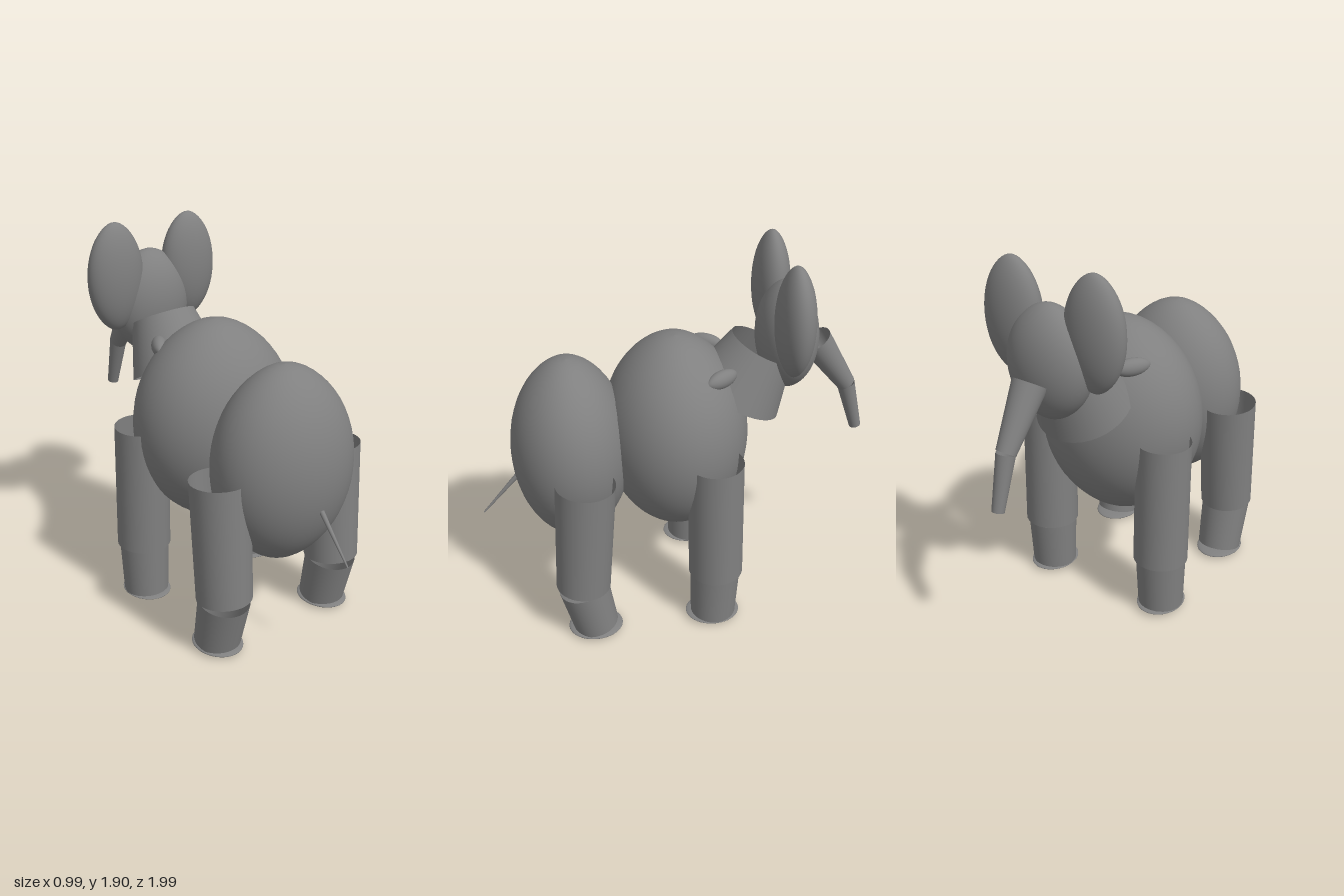
import * as THREE from 'three';

const gray = new THREE.MeshStandardMaterial({ color: 0x808080, side: THREE.DoubleSide });
gray.name = 'elephant gray';

// Ellipsoid with slightly pointed poles, made from a lathed profile
function pod(name, center, radii) {
  const profile = [];
  for (let i = 0; i <= 28; i++) {
    const t = Math.PI * (1 - i / 28);
    const c = Math.cos(t);
    profile.push(new THREE.Vector2(Math.max(0, Math.sin(t)), 0.96 * c + 0.04 * Math.pow(c, 9)));
  }
  const geometry = new THREE.LatheGeometry(profile, 40);
  geometry.scale(...radii);
  const mesh = new THREE.Mesh(geometry, gray);
  mesh.name = name;
  mesh.position.set(...center);
  return mesh;
}

// Open tapered tube running from a lower point to an upper point
function sleeve(name, low, high, lowRadius, highRadius) {
  const a = new THREE.Vector3(...low);
  const b = new THREE.Vector3(...high);
  const axis = b.clone().sub(a);
  const geometry = new THREE.CylinderGeometry(highRadius, lowRadius, axis.length(), 36, 1, true);
  const mesh = new THREE.Mesh(geometry, gray);
  mesh.name = name;
  mesh.position.copy(a).add(b).multiplyScalar(0.5);
  mesh.quaternion.setFromUnitVectors(new THREE.Vector3(0, 1, 0), axis.normalize());
  return mesh;
}

export function createModel() {
  const model = new THREE.Group();
  model.name = 'elephant';

  // Body and head
  model.add(
    pod('hindBody', [0, 0.915, 0.53], [0.37, 0.495, 0.3]),
    pod('foreBody', [0, 0.965, 0], [0.43, 0.525, 0.367]),
    pod('head', [0, 1.45, -0.56], [0.22, 0.28, 0.152]),
    sleeve('neck', [0, 1.144, -0.31], [0, 1.395, -0.44], 0.243, 0.168),
  );

  // Trunk and tail
  model.add(
    sleeve('upperTrunk', [0, 1.134, -0.893], [0, 1.4, -0.71], 0.048, 0.083),
    sleeve('lowerTrunk', [0, 0.872, -0.967], [0, 1.134, -0.893], 0.03, 0.046),
    sleeve('tail', [0, 0.56, 0.996], [0, 0.77, 0.81], 0.004, 0.013),
  );

  // Paired parts
  for (const side of [1, -1]) {
    const label = side > 0 ? 'left' : 'right';
    const x = 0.347 * side;
    model.add(pod(label + 'Ear', [0.225 * side, 1.62, -0.53], [0.157, 0.28, 0.092]));

    // Small shoulder swelling beside the neck
    const shoulder = pod(label + 'Shoulder', [0.195 * side, 1.335, -0.195], [0.04, 0.095, 0.045]);
    shoulder.rotation.set(Math.PI / 2, 0, -0.55 * side);
    model.add(shoulder);

    // Front leg
    model.add(
      sleeve(label + 'FrontUpperLeg', [x, 0.3, -0.153], [x, 0.963, -0.143], 0.138, 0.137),
      sleeve(label + 'FrontLowerLeg', [x, 0.025, -0.143], [x, 0.295, -0.15], 0.116, 0.127),
      pod(label + 'FrontFoot', [x, 0.023, -0.14], [0.118, 0.014, 0.14]),
    );

    // Hind leg
    model.add(
      sleeve(label + 'HindUpperLeg', [x, 0.303, 0.532], [x, 0.915, 0.495], 0.137, 0.147),
      sleeve(label + 'HindLowerLeg', [x, 0.035, 0.478], [x, 0.29, 0.532], 0.115, 0.128),
      pod(label + 'HindFoot', [x, 0.02, 0.48], [0.118, 0.018, 0.14]),
    );
  }
  return model;
}
